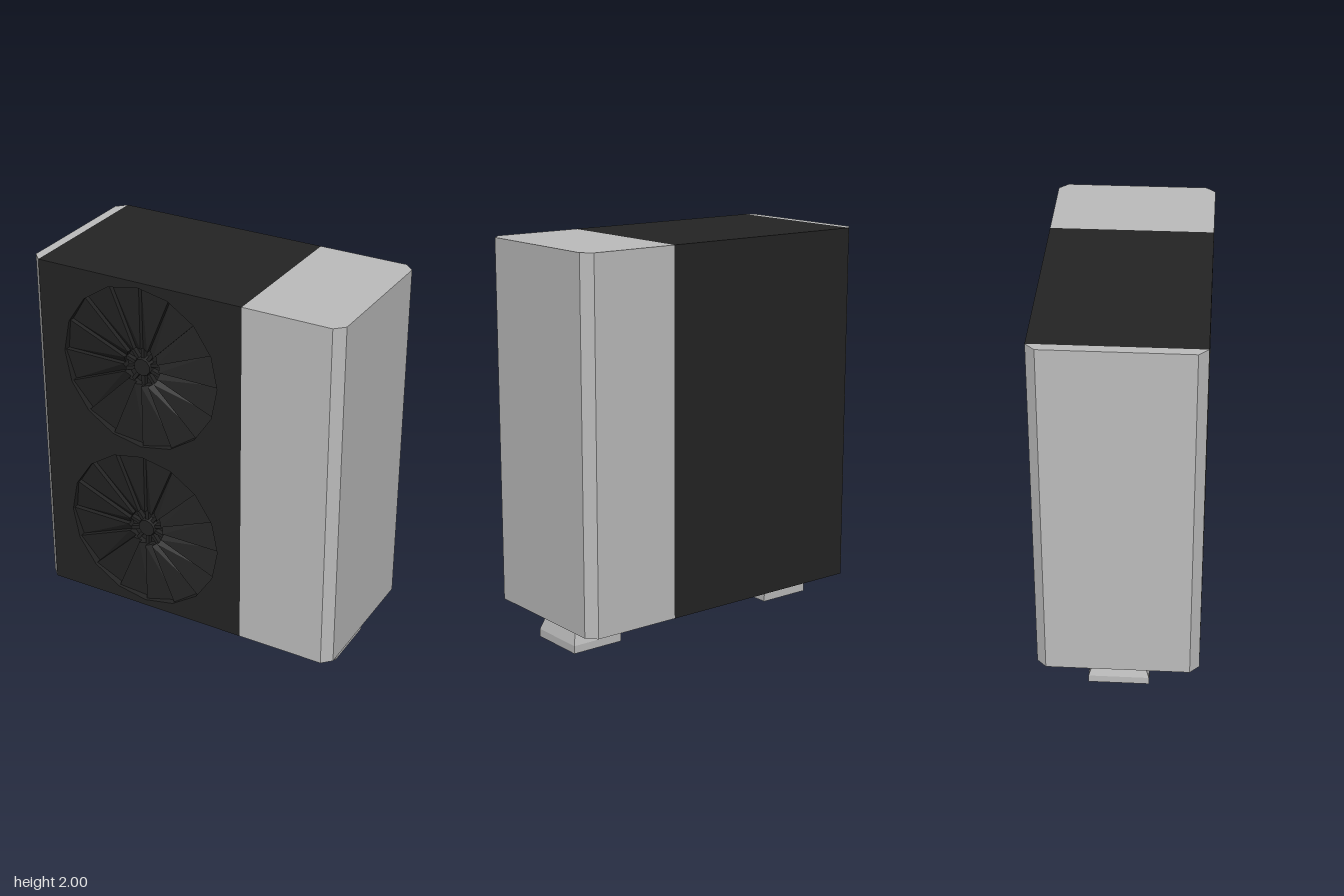
import * as THREE from 'three';

const BOTTOM = 0.16, TOP = 2, HALF_Z = 0.405, CHAMFER = 0.047;
const SIDES = 16, FAN_R = 0.43, HUB_R = 0.1, BACK_Z = 0.345;

const grey = new THREE.MeshStandardMaterial({ color: 0xbcbcbc });
grey.name = 'light grey casing';
const dark = new THREE.MeshStandardMaterial({ color: 0x242424 });
dark.name = 'black panel';

function mesh(name, geometry, material) {
  const m = new THREE.Mesh(geometry, material);
  m.name = name;
  return m;
}

// Vertical prism from a plan outline of [x, z] points
function prism(name, plan, material) {
  const shape = new THREE.Shape(plan.map(([x, z]) => new THREE.Vector2(x, -z)));
  const g = new THREE.ExtrudeGeometry(shape, { depth: TOP - BOTTOM, bevelEnabled: false });
  g.rotateX(-Math.PI / 2).translate(0, BOTTOM, 0);
  return mesh(name, g, material);
}

// Pitched fan blades: each wedge falls from its leading edge to the next step
function bladesGeometry() {
  const low = 0.365, high = 0.39, pos = [];
  const p = (r, a, z) => [r * Math.cos(a), r * Math.sin(a), z];
  const quad = (a, b, c, d) => pos.push(...a, ...b, ...c, ...a, ...c, ...d);
  for (let i = 0; i < SIDES; i++) {
    const a = (i / SIDES) * Math.PI * 2, b = ((i + 1) / SIDES) * Math.PI * 2;
    quad(p(HUB_R, a, high), p(FAN_R, a, high), p(FAN_R, b, low), p(HUB_R, b, low));
    quad(p(HUB_R, a, low), p(FAN_R, a, low), p(FAN_R, a, high), p(HUB_R, a, high));
    quad(p(HUB_R, a, high), p(HUB_R, b, low), p(HUB_R, b, BACK_Z), p(HUB_R, a, BACK_Z));
  }
  const g = new THREE.BufferGeometry();
  g.setAttribute('position', new THREE.Float32BufferAttribute(pos, 3));
  g.computeVertexNormals();
  return g;
}

function fan(y) {
  const group = new THREE.Group();
  group.name = 'fan';
  group.add(mesh('fanBlades', bladesGeometry(), dark));
  // Hub cap with short ribs in the central recess
  const cap = new THREE.CylinderGeometry(0.045, 0.055, 0.035, 10).toNonIndexed();
  cap.computeVertexNormals();
  cap.rotateX(Math.PI / 2).translate(0, 0, BACK_Z + 0.0175);
  group.add(mesh('hubCap', cap, dark));
  for (let i = 0; i < 10; i++) {
    const rib = new THREE.BoxGeometry(0.05, 0.018, 0.025);
    rib.translate(0.073, 0, BACK_Z + 0.0125).rotateZ(((i + 0.5) / 10) * Math.PI * 2);
    group.add(mesh('hubRib', rib, dark));
  }
  group.position.set(-0.23, y, 0);
  return group;
}

// Foot: short square pad below a tapered block
function foot(x) {
  const group = new THREE.Group();
  group.name = 'foot';
  const w = 0.283, d = 0.305;
  const pad = new THREE.BoxGeometry(w, 0.04, d).translate(0, 0.02, 0);
  const taper = new THREE.BoxGeometry(w, BOTTOM - 0.04, d);
  const v = taper.attributes.position;
  for (let i = 0; i < v.count; i++) {
    if (v.getY(i) > 0) v.setXYZ(i, v.getX(i) * 0.73, v.getY(i), v.getZ(i) * 0.74);
  }
  taper.computeVertexNormals();
  taper.translate(0, (BOTTOM + 0.04) / 2, 0);
  group.add(mesh('footPad', pad, grey), mesh('footTaper', taper, grey));
  group.position.x = x;
  return group;
}

export function createModel() {
  const model = new THREE.Group();
  model.name = 'outdoorFanUnit';
  const X = 0.835, L = -0.788, R = 0.33, Z = HALF_Z, c = CHAMFER;

  // Grey casing at both ends with chamfered vertical edges
  model.add(prism('serviceCasing',
    [[R, Z], [X - c, Z], [X, Z - c], [X, c - Z], [X - c, -Z], [R, -Z]], grey));
  model.add(prism('endCasing',
    [[L, -Z], [-X, c - Z], [-X, Z - c], [L, Z]], grey));

  // Black centre section, with a front panel cut out for the fans
  model.add(prism('fanHousing', [[L, BACK_Z], [R, BACK_Z], [R, -Z], [L, -Z]], dark));
  const panel = new THREE.Shape([[L, BOTTOM], [R, BOTTOM], [R, TOP], [L, TOP]]
    .map(([x, y]) => new THREE.Vector2(x, y)));
  for (const y of [0.622, 1.542]) {
    const ring = [];
    for (let i = 0; i < SIDES; i++) {
      const a = (-i / SIDES) * Math.PI * 2;
      ring.push(new THREE.Vector2(-0.23 + FAN_R * Math.cos(a), y + FAN_R * Math.sin(a)));
    }
    panel.holes.push(new THREE.Path(ring));
    model.add(fan(y));
  }
  const front = new THREE.ExtrudeGeometry(panel, { depth: Z - BACK_Z, bevelEnabled: false });
  model.add(mesh('frontPanel', front.translate(0, 0, BACK_Z), dark));

  for (const side of [-1, 1]) model.add(foot(side * 0.615));
  return model;
}
